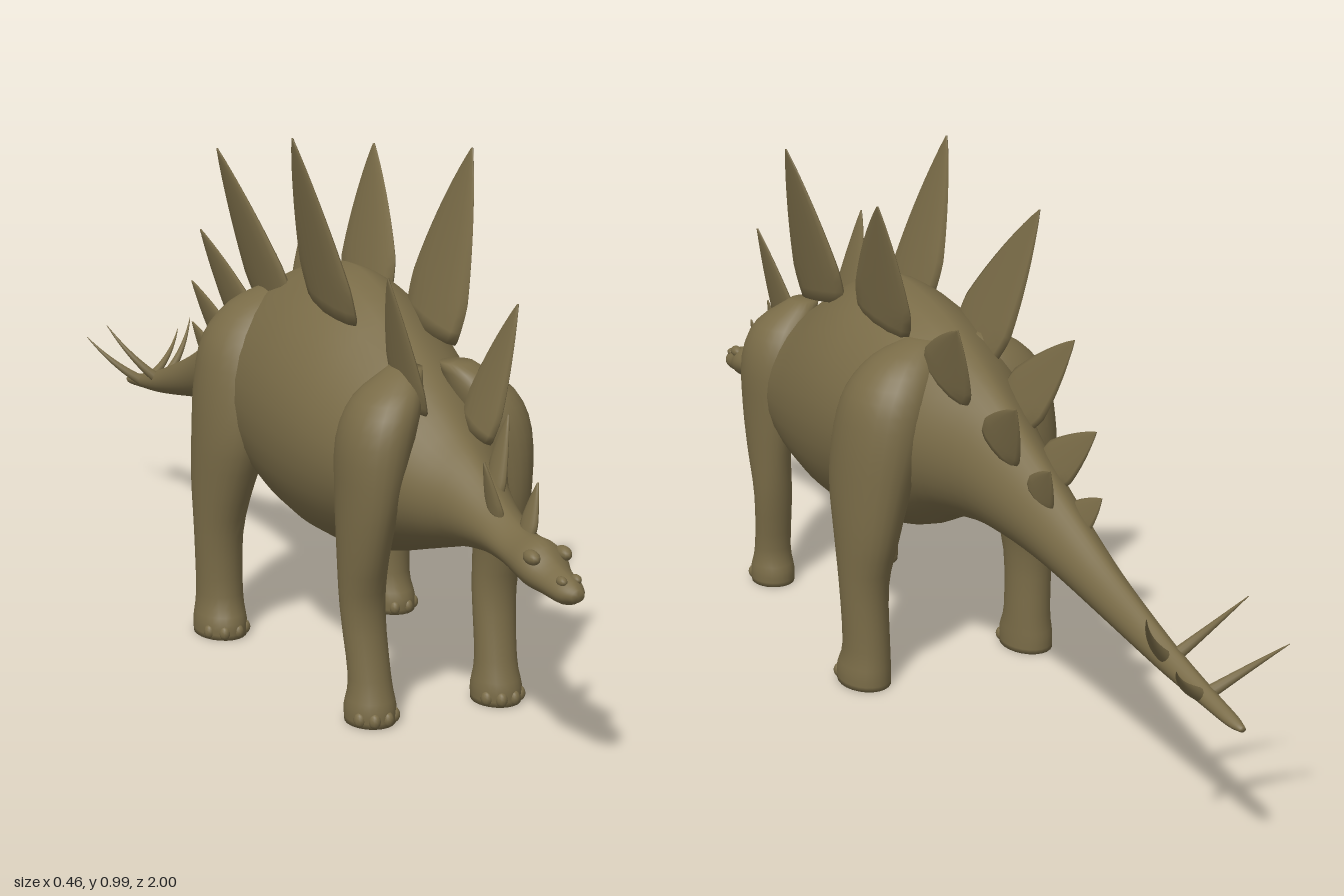
import * as THREE from 'three';

const hide = new THREE.MeshStandardMaterial({ color: 0x796b47 });
hide.name = 'olive hide';
const V = (x, y, z) => new THREE.Vector3(x, y, z);

// Smooth closed skin through a list of equal-sized rings, always facing outward.
function loft(name, rings) {
  const n = rings[0].length, pos = [], idx = [];
  const mid = (r) => r.reduce((s, p) => s.add(p), V(0, 0, 0)).divideScalar(n);
  const all = [...rings.flat(), mid(rings[0]), mid(rings.at(-1))];
  all.forEach((p) => pos.push(p.x, p.y, p.z));
  const first = rings.length * n, last = first + 1;
  for (let j = 0; j < n; j++) {
    const k = (j + 1) % n;
    for (let i = 0; i < rings.length - 1; i++) {
      const a = i * n, b = a + n;
      idx.push(a + j, b + j, b + k, a + j, b + k, a + k);
    }
    idx.push(first, j, k, last, first - n + k, first - n + j);
  }
  let volume = 0;
  for (let i = 0; i < idx.length; i += 3) {
    volume += all[idx[i]].dot(V(0, 0, 0).crossVectors(all[idx[i + 1]], all[idx[i + 2]]));
  }
  if (volume < 0) idx.reverse();
  const g = new THREE.BufferGeometry();
  g.setAttribute('position', new THREE.Float32BufferAttribute(pos, 3));
  g.setIndex(idx);
  g.computeVertexNormals();
  const mesh = new THREE.Mesh(g, hide);
  mesh.name = name;
  return mesh;
}

function blob(name, x, y, z, rx, ry, rz) {
  const m = new THREE.Mesh(new THREE.SphereGeometry(1, 12, 8), hide);
  m.name = name;
  m.position.set(x, y, z);
  m.scale.set(rx, ry, rz);
  return m;
}

// Head, trunk and tail in one skin: z, top, bottom, half width
function body() {
  const rows = [
    [1.0, .362, .342, .012], [.975, .375, .331, .026], [.93, .388, .332, .033], [.89, .412, .334, .045],
    [.84, .412, .345, .042], [.8, .42, .35, .042], [.74, .447, .35, .048], [.66, .495, .338, .07],
    [.6, .53, .32, .1], [.5, .602, .288, .148], [.4, .662, .257, .172], [.3, .715, .24, .188],
    [.2, .742, .238, .195], [.1, .735, .255, .192], [0, .712, .285, .178], [-.1, .672, .335, .14],
    [-.2, .622, .358, .098], [-.3, .565, .36, .075], [-.4, .512, .353, .059], [-.5, .46, .338, .047],
    [-.6, .412, .32, .037], [-.7, .373, .302, .029], [-.8, .337, .286, .023], [-.9, .308, .275, .017],
    [-.97, .29, .268, .013], [-1, .28, .27, .006]];
  const heights = new THREE.CatmullRomCurve3(rows.map((r) => V(r[0], r[1], r[2])), false, 'catmullrom');
  const widths = new THREE.CatmullRomCurve3(rows.map((r) => V(r[0], r[3], 0)), false, 'catmullrom');
  const rings = [], steps = 75, sides = 32;
  for (let i = 0; i <= steps; i++) {
    const p = heights.getPoint(i / steps), w = widths.getPoint(i / steps).y, ring = [];
    const cy = p.z + (p.y - p.z) * .46;
    for (let j = 0; j < sides; j++) {
      const a = j / sides * Math.PI * 2, s = Math.sin(a);
      // the back rises to a slight ridge
      const lift = s > 0 ? s - .08 * Math.abs(Math.sin(2 * a)) : s;
      ring.push(V(w * Math.cos(a), cy + lift * (s > 0 ? p.y - cy : cy - p.z), p.x));
    }
    rings.push(ring);
  }
  return loft('body', rings);
}

// Leg rows: y, centre x, centre z, half width, half depth
function leg(name, side, rows) {
  const g = new THREE.Group();
  g.name = name;
  const centre = new THREE.CatmullRomCurve3(rows.map((r) => V(r[1], r[0], r[2])), false, 'catmullrom');
  const radius = new THREE.CatmullRomCurve3(rows.map((r) => V(r[3], r[0], r[4])), false, 'catmullrom');
  const rings = [], steps = (rows.length - 1) * 3, sides = 24;
  for (let i = 0; i <= steps; i++) {
    const c = centre.getPoint(i / steps), r = radius.getPoint(i / steps), ring = [];
    for (let j = 0; j < sides; j++) {
      const a = j / sides * Math.PI * 2;
      ring.push(V(side * (c.x + r.x * Math.cos(a)), Math.max(0, c.y), c.z + r.z * Math.sin(a)));
    }
    rings.push(ring);
  }
  g.add(loft(name + 'Limb', rings));
  const [, cx, cz, rx, rz] = rows[0];
  for (let i = 0; i < 4; i++) {
    const a = Math.PI * (.2 + .2 * i);
    g.add(blob('toe', side * (cx + rx * .92 * Math.cos(a)), .014, cz + rz * .92 * Math.sin(a), .011, .014, .012));
  }
  return g;
}

// Leaf-shaped back plate leaning outward: base front, base back and tip as [z, y]
function plate(side, front, back, tip) {
  const rings = [], steps = 14, sides = 12;
  const cz = (front[0] + back[0]) / 2, cy = (front[1] + back[1]) / 2;
  const hz = (front[0] - back[0]) / 2, hy = (front[1] - back[1]) / 2;
  const thick = Math.min(.02, .006 + Math.abs(hz) * .12);
  for (let i = 0; i <= steps; i++) {
    const t = i / steps, ring = [];
    const w = (Math.pow(1 - Math.pow(t, 1.5), .9) + .015) * (.82 + .18 * Math.min(1, t / .2));
    for (let j = 0; j < sides; j++) {
      const a = j / sides * Math.PI * 2, c = Math.cos(a) * w;
      const y = cy + (tip[1] - cy) * t + hy * c;
      const x = .012 + .242 * (y - .42) + (thick * (1 - t) + .002) * Math.sin(a);
      ring.push(V(side * x, y, cz + (tip[0] - cz) * t + hz * c));
    }
    rings.push(ring);
  }
  return loft('backPlate', rings);
}

// Curved, tapering tail spike
function spike(side, z, y, tip) {
  const curve = new THREE.QuadraticBezierCurve3(
    V(0, y, z), V(side * tip.x * .62, y + (tip.y - y) * .4, z + (tip.z - z) * .25), V(side * tip.x, tip.y, tip.z));
  const steps = 12, sides = 10, rings = [], frames = curve.computeFrenetFrames(steps);
  for (let i = 0; i <= steps; i++) {
    const p = curve.getPointAt(i / steps), r = .012 * (1 - i / steps) + .0006, ring = [];
    for (let j = 0; j < sides; j++) {
      const a = j / sides * Math.PI * 2;
      ring.push(p.clone().addScaledVector(frames.normals[i], r * Math.cos(a))
        .addScaledVector(frames.binormals[i], r * Math.sin(a)));
    }
    rings.push(ring);
  }
  return loft('tailSpike', rings);
}

export function createModel() {
  const model = new THREE.Group();
  model.name = 'platedDinosaur';
  model.add(body());

  const frontRows = [
    [0, .125, .525, .044, .05], [.03, .125, .525, .045, .05], [.08, .125, .522, .038, .038],
    [.2, .13, .503, .04, .039], [.3, .133, .51, .042, .06], [.4, .128, .515, .05, .08],
    [.5, .115, .515, .062, .086], [.57, .09, .512, .058, .07], [.62, .05, .5, .03, .03]];
  const hindRows = [
    [0, .182, -.018, .049, .064], [.03, .182, -.018, .049, .064], [.08, .18, -.025, .044, .053],
    [.2, .182, -.022, .046, .055], [.3, .174, -.018, .056, .083], [.4, .16, -.008, .069, .108],
    [.5, .14, -.012, .082, .113], [.58, .118, -.018, .085, .1], [.64, .085, -.02, .068, .07],
    [.675, .05, -.02, .03, .03]];
  for (const side of [1, -1]) {
    const tag = side > 0 ? 'left' : 'right';
    model.add(leg(tag + 'FrontLeg', side, frontRows), leg(tag + 'HindLeg', side, hindRows));
    model.add(blob(tag + 'Brow', side * .029, .392, .905, .012, .012, .02));
    model.add(blob(tag + 'Nostril', side * .013, .37, .972, .008, .008, .012));
    model.add(spike(side, -.79, .312, V(.1, .435, -.865)));
    model.add(spike(side, -.89, .288, V(.11, .388, -.968)));
  }

  // Alternating plates from neck to tail
  const plates = [
    [1, [.85, .405], [.8, .41], [.822, .487]], [-1, [.785, .415], [.735, .43], [.755, .512]],
    [1, [.73, .435], [.665, .47], [.688, .568]], [1, [.665, .505], [.535, .54], [.638, .742]],
    [-1, [.575, .54], [.455, .6], [.532, .782]], [1, [.485, .635], [.25, .675], [.37, .968]],
    [-1, [.365, .66], [.16, .69], [.253, .987]], [1, [.21, .69], [-.02, .665], [-.003, .932]],
    [-1, [.09, .665], [-.11, .62], [-.13, .922]], [1, [-.04, .645], [-.2, .58], [-.225, .747]],
    [-1, [-.13, .605], [-.27, .54], [-.332, .732]], [1, [-.23, .565], [-.34, .505], [-.39, .643]],
    [-1, [-.3, .53], [-.4, .475], [-.46, .603]], [1, [-.37, .5], [-.44, .455], [-.47, .55]],
    [-1, [-.43, .465], [-.5, .43], [-.52, .503]]];
  plates.forEach((p) => model.add(plate(...p)));
  return model;
}
